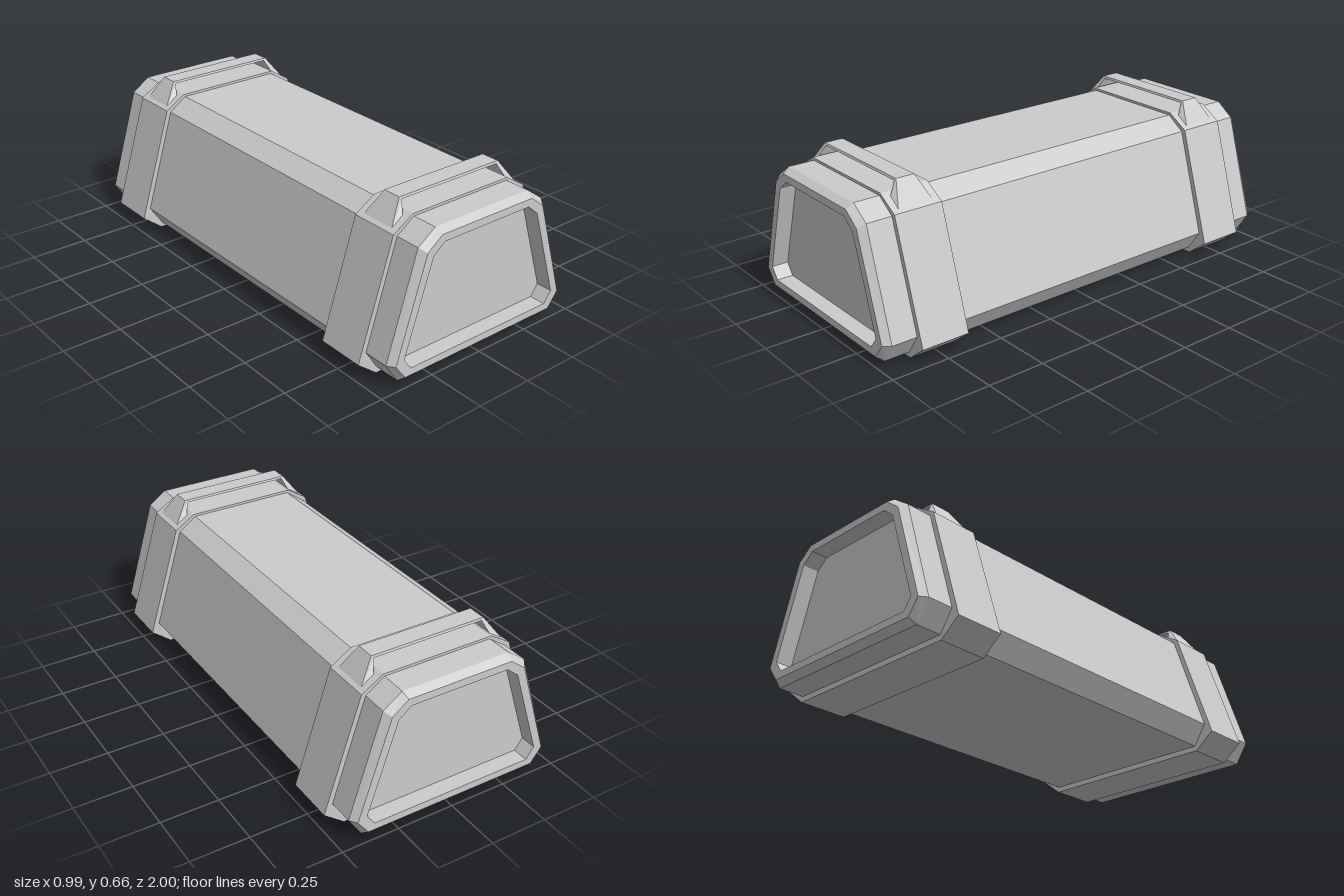
import * as THREE from 'three';

const material = new THREE.MeshStandardMaterial({ color: 0xcccccc, flatShading: true });

// Skins a list of equal-length convex rings and closes both ends.
function loft(rings, name) {
  const pos = [];
  const tri = (a, b, c) => pos.push(...a, ...b, ...c);
  const n = rings[0].length;
  for (let s = 0; s < rings.length - 1; s++) {
    const p = rings[s], q = rings[s + 1];
    for (let i = 0; i < n; i++) {
      const j = (i + 1) % n;
      tri(p[i], p[j], q[j]);
      tri(p[i], q[j], q[i]);
    }
  }
  const first = rings[0], last = rings[rings.length - 1];
  for (let i = 1; i < n - 1; i++) {
    tri(first[0], first[i + 1], first[i]);
    tri(last[0], last[i], last[i + 1]);
  }
  const geo = new THREE.BufferGeometry();
  geo.setAttribute('position', new THREE.Float32BufferAttribute(pos, 3));
  geo.computeVertexNormals();
  const mesh = new THREE.Mesh(geo, material);
  mesh.name = name;
  return mesh;
}

// Mirrors a right-hand half profile (bottom to top) into a full ring at depth z.
function ring(half, z) {
  const right = half.map(([x, y]) => [x, y, z]);
  const left = half.map(([x, y]) => [-x, y, z]).reverse();
  return [...right, ...left];
}

const hull = [[0.4, 0.023], [0.457, 0.11], [0.32, 0.55], [0.24, 0.606]];
const lip = [[0.387, 0.046], [0.435, 0.11], [0.3, 0.533], [0.232, 0.585]];
const recess = [[0.36, 0.077], [0.395, 0.125], [0.27, 0.51], [0.218, 0.553]];
const band = [[0.405, 0], [0.493, 0.07], [0.338, 0.56], [0.246, 0.617]];

// Handle stations: outer point, inner point, half widths of each along z.
const handleSide = [
  { outer: [0.327, 0.562], inner: [0.27, 0.592], wo: 0.08, wi: 0.08 },
  { outer: [0.256, 0.662], inner: [0.246, 0.652], wo: 0.04, wi: 0.043 },
];

function handle(z) {
  const section = ({ outer, inner, wo, wi }, side) => [
    [side * outer[0], outer[1], z + wo],
    [side * outer[0], outer[1], z - wo],
    [side * inner[0], inner[1], z - wi],
    [side * inner[0], inner[1], z + wi],
  ];
  const [base, top] = handleSide;
  return loft([section(base, 1), section(top, 1), section(top, -1), section(base, -1)], 'handle');
}

export function createModel() {
  const model = new THREE.Group();
  model.name = 'crate';

  // Long case with chamfered rims and a sunken panel at each end
  model.add(loft([
    ring(recess, -0.93), ring(recess, -1), ring(lip, -1), ring(hull, -0.97),
    ring(hull, 0.97), ring(lip, 1), ring(recess, 1), ring(recess, 0.93),
  ], 'case'));

  // A band and a carrying handle near each end
  for (const side of [1, -1]) {
    const z = side * 0.755;
    const clamp = new THREE.Group();
    clamp.name = side > 0 ? 'frontClamp' : 'backClamp';
    clamp.add(loft([ring(band, z - 0.105), ring(band, z + 0.105)], 'band'));
    clamp.add(handle(z));
    model.add(clamp);
  }
  return model;
}
